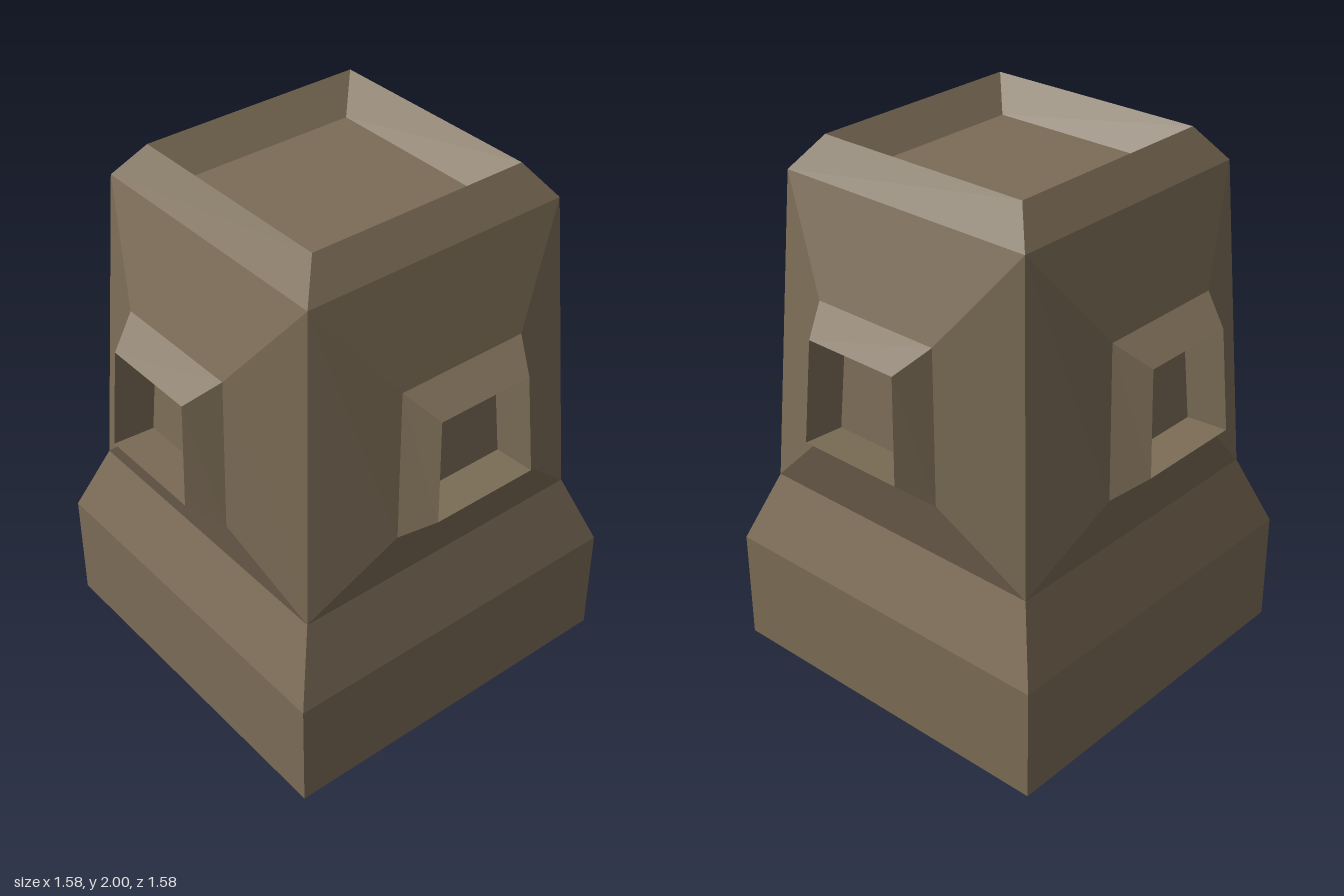
import * as THREE from 'three';

// One thin open shell, seen from inside as well as outside
const stone = new THREE.MeshStandardMaterial({ color: 0x7b6c56, side: THREE.DoubleSide, flatShading: true });
stone.name = 'brown stone';

// Flat-shaded geometry from a list of four-cornered faces
function facesGeometry(quads) {
  const points = [];
  for (const [a, b, c, d] of quads) points.push(...a, ...b, ...c, ...a, ...c, ...d);
  const geometry = new THREE.BufferGeometry();
  geometry.setAttribute('position', new THREE.Float32BufferAttribute(points, 3));
  geometry.computeVertexNormals();
  return geometry;
}

// Corners of a front-facing trapezoid, anticlockwise from bottom left
function trapezoid([w0, y0, z0], [w1, y1, z1]) {
  return [[-w0, y0, z0], [w0, y0, z0], [w1, y1, z1], [-w1, y1, z1]];
}

// Faces joining two trapezoids, on the chosen sides (0 bottom, 1 right, 2 top, 3 left)
function ring(outer, inner, sides = [0, 1, 2, 3]) {
  return sides.map((i) => {
    const j = (i + 1) % 4;
    return [outer[i], outer[j], inner[j], inner[i]];
  });
}

// One side of a square band between two half-widths and heights
const band = (r0, y0, r1, y1) => [trapezoid([r0, y0, r0], [r1, y1, r1])];

export function createModel() {
  const model = new THREE.Group();
  model.name = 'tower';

  const wall = trapezoid([0.593, 0.7, 0.593], [0.522, 1.88, 0.522]);
  const frameFoot = trapezoid([0.29, 0.98, 0.688], [0.255, 1.53, 0.652]);
  const opening = trapezoid([0.208, 1.07, 0.79], [0.188, 1.45, 0.765]);
  // Window panel set back square to the tilted opening
  const panel = opening.map(([x, y, z]) => [x, y - 0.0105, z - 0.16]);

  const parts = {
    base: band(0.695, 0, 0.695, 0.43),
    shoulder: band(0.695, 0.43, 0.593, 0.7),
    wall: ring(wall, frameFoot),
    windowFrame: ring(frameFoot, opening),
    windowRecess: [...ring(opening, panel, [0, 1, 3]), panel], // open above the panel
    parapet: band(0.522, 1.88, 0.43, 2),
    parapetInside: band(0.43, 2, 0.325, 1.89),
  };

  // The four sides are alike
  for (const [name, quads] of Object.entries(parts)) {
    const geometry = facesGeometry(quads);
    const group = new THREE.Group();
    group.name = name;
    for (let i = 0; i < 4; i++) {
      const mesh = new THREE.Mesh(geometry, stone);
      mesh.name = name + 'Side';
      mesh.rotation.y = (i * Math.PI) / 2;
      group.add(mesh);
    }
    model.add(group);
  }

  // Sunken roof floor
  const r = 0.325, y = 1.89;
  const roof = new THREE.Mesh(facesGeometry([[[-r, y, r], [r, y, r], [r, y, -r], [-r, y, -r]]]), stone);
  roof.name = 'roofFloor';
  model.add(roof);

  return model;
}
